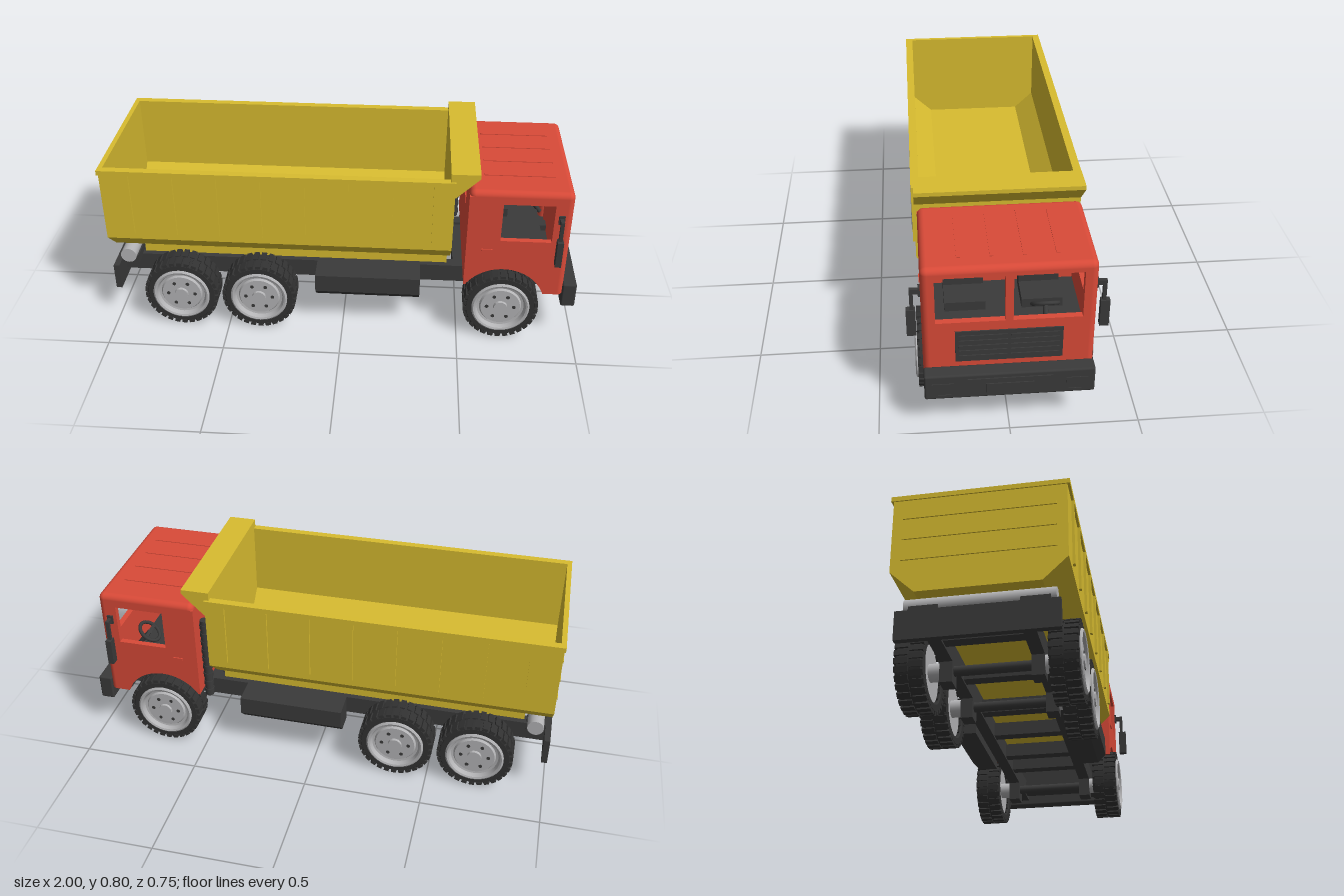
import * as THREE from 'three';
import { mergeGeometries, toCreasedNormals } from 'three/addons/utils/BufferGeometryUtils.js';
import { RoundedBoxGeometry } from 'three/addons/geometries/RoundedBoxGeometry.js';

const mat = (name, color) => {
  const m = new THREE.MeshStandardMaterial({ color });
  m.name = name;
  return m;
};

export function createModel() {
  const yellow = mat('yellow paint', 0xd8bc30);
  const red = mat('red paint', 0xd94a38);
  const dark = mat('dark plastic', 0x3a3a3a);
  const rubber = mat('tyre rubber', 0x323232);
  const gray = mat('wheel gray', 0xb4b4b6);

  const truck = new THREE.Group();
  truck.name = 'dumpTruck';
  const group = (name, parent = truck) => {
    const g = new THREE.Group();
    g.name = name;
    parent.add(g);
    return g;
  };
  const add = (parent, name, geo, material) => {
    const m = new THREE.Mesh(geo, material);
    m.name = name;
    parent.add(m);
    return m;
  };
  // box given by its limits on each axis
  const box = (parent, name, material, x0, x1, y0, y1, z0, z1) => {
    const m = add(parent, name, new THREE.BoxGeometry(x1 - x0, y1 - y0, z1 - z0), material);
    m.position.set((x0 + x1) / 2, (y0 + y1) / 2, (z0 + z1) / 2);
    return m;
  };
  // the same box on both sides
  const pair = (parent, name, material, x0, x1, y0, y1, z0, z1) => {
    box(parent, name, material, x0, x1, y0, y1, z0, z1);
    box(parent, name, material, x0, x1, y0, y1, -z1, -z0);
  };
  const poly = (pts) => new THREE.Shape(pts.map(([a, b]) => new THREE.Vector2(a, b)));
  const rectHole = (shape, x0, x1, y0, y1) =>
    shape.holes.push(new THREE.Path([[x0, y0], [x0, y1], [x1, y1], [x1, y0]].map(([a, b]) => new THREE.Vector2(a, b))));
  const extrude = (shape, depth) => new THREE.ExtrudeGeometry(shape, { depth, bevelEnabled: false, curveSegments: 20 });
  // symmetric (z, y) section swept along x
  const alongX = (shape, x0, x1) => extrude(shape, x1 - x0).rotateY(Math.PI / 2).translate(x0, 0, 0);
  const mirrored = (half) => poly([...half, ...half.slice().reverse().map(([a, b]) => [-a, b])]);

  // ---- chassis
  const chassis = group('chassis');
  pair(chassis, 'frameRail', dark, -0.985, 0.93, 0.187, 0.267, 0.15, 0.2);
  for (const x of [-0.86, -0.53, -0.2, 0.06, 0.32, 0.5, 0.86])
    box(chassis, 'crossBeam', dark, x - 0.025, x + 0.025, 0.195, 0.255, -0.15, 0.15);
  box(chassis, 'rearBar', dark, -1, -0.975, 0.15, 0.267, -0.3, 0.3);
  const tank = poly([[0.2, 0.267], [0.2, 0.15], [0.28, 0.15], [0.315, 0.187], [0.315, 0.267]]);
  for (const s of [1, -1]) {
    const t = add(chassis, 'sideTank', alongX(tank, -0.225, 0.225), dark);
    t.position.x = 0.108;
    if (s > 0) t.rotation.y = Math.PI;
  }
  const hinge = add(chassis, 'tippingHinge', new THREE.CylinderGeometry(0.034, 0.034, 0.56, 24).rotateX(Math.PI / 2), gray);
  hinge.position.set(-0.933, 0.31, 0);
  pair(chassis, 'hingeSupport', dark, -0.97, -0.895, 0.26, 0.3, 0.15, 0.26);

  // ---- wheels
  const lathe = (pts) => toCreasedNormals(
    new THREE.LatheGeometry(pts.map(([a, b]) => new THREE.Vector2(a, b)), 40).rotateX(Math.PI / 2), 0.5);
  const tyreGeo = lathe([[0.112, -0.05], [0.12, -0.055], [0.145, -0.055], [0.154, -0.045], [0.154, 0.045], [0.145, 0.055], [0.115, 0.055]]);
  const rimGeo = lathe([[0.123, 0.05], [0.123, 0.06], [0.116, 0.065], [0.108, 0.062], [0.1, 0.045], [0.09, 0.043],
    [0.084, 0.052], [0.03, 0.052], [0.028, 0.062], [0, 0.062]]);
  const backGeo = lathe([[0, -0.04], [0.116, -0.04]]);
  const lugs = [];
  for (const row of [0, 1])
    for (let i = 0; i < 30; i++)
      lugs.push(new THREE.BoxGeometry(0.014, 0.022, 0.052).translate(0.153, 0, row ? 0.029 : -0.029)
        .rotateZ((i + row / 2) * Math.PI / 15));
  const treadGeo = mergeGeometries(lugs);
  const boltGeo = new THREE.CylinderGeometry(0.008, 0.008, 0.004, 10).rotateX(Math.PI / 2);
  for (const x of [-0.7, -0.36, 0.68]) {
    for (const s of [1, -1]) {
      const w = group(x > 0 ? 'frontWheel' : 'rearWheel');
      add(w, 'tyre', tyreGeo, rubber);
      add(w, 'tread', treadGeo, rubber);
      add(w, 'rim', rimGeo, gray);
      add(w, 'rimBack', backGeo, gray);
      for (let i = 0; i < 6; i++)
        add(w, 'wheelBolt', boltGeo, dark).position.set(0.058 * Math.cos(i * Math.PI / 3), 0.058 * Math.sin(i * Math.PI / 3), 0.052);
      w.position.set(x, 0.16, s * 0.285);
      if (s < 0) w.rotation.y = Math.PI;
    }
    const axle = add(chassis, 'axle', new THREE.CylinderGeometry(0.02, 0.02, 0.4, 16).rotateX(Math.PI / 2), dark);
    axle.position.set(x, 0.16, 0);
    for (const s of [1, -1])
      add(chassis, 'axleStub', new THREE.CylinderGeometry(0.036, 0.036, 0.05, 20).rotateX(Math.PI / 2), gray)
        .position.set(x, 0.16, s * 0.225);
    pair(chassis, 'axleMount', dark, x - 0.035, x + 0.035, 0.103, 0.2, 0.15, 0.2);
  }

  // ---- dump bed
  const bed = group('dumpBed');
  const outline = [[0.33, 0.765], [0.33, 0.435], [0.235, 0.345]];
  const shell = poly([...outline, [-0.235, 0.345], [-0.33, 0.435], [-0.33, 0.765], [-0.31, 0.765], [-0.31, 0.445],
    [-0.225, 0.365], [0.225, 0.365], [0.31, 0.445], [0.31, 0.765]]);
  add(bed, 'bedShell', alongX(shell, -0.99, 0.45), yellow);
  add(bed, 'tailgate', alongX(mirrored(outline), -0.995, -0.98), yellow);
  add(bed, 'frontWall', alongX(mirrored(outline), 0.437, 0.457), yellow);
  for (const y of [0.48, 0.57, 0.66])
    box(bed, 'tailgateRib', yellow, -1, -0.99, y, y + 0.012, -0.29, 0.29);
  pair(bed, 'topRim', yellow, -1, 0.457, 0.745, 0.765, 0.308, 0.34);
  box(bed, 'rearRim', yellow, -1, -0.98, 0.745, 0.765, -0.33, 0.33);
  for (let i = 0; i < 8; i++) {
    const x = -0.88 + i * 0.18;
    pair(bed, 'sideRib', yellow, x - 0.009, x + 0.009, 0.465, 0.75, 0.325, 0.34);
  }
  const lip = poly([[0.437, 0.69], [0.46, 0.69], [0.555, 0.783], [0.555, 0.8], [0.437, 0.8]]);
  add(bed, 'cabGuard', extrude(lip, 0.66).translate(0, 0, -0.33), yellow);
  add(bed, 'bedSubframe', alongX(mirrored([[0.225, 0.35], [0.18, 0.31], [0.18, 0.27]]), -0.885, 0.447), yellow);

  // ---- cab body
  const cab = group('cab');
  const side = new THREE.Shape();
  side.moveTo(0.516, 0.695);
  side.lineTo(0.516, 0.26);
  side.absarc(0.68, 0.16, 0.185, Math.PI - Math.asin(0.1 / 0.185), Math.asin(0.065 / 0.185), true);
  side.lineTo(0.913, 0.225);
  side.lineTo(0.913, 0.695);
  rectHole(side, 0.655, 0.864, 0.487, 0.663);
  for (const z of [0.295, -0.32]) add(cab, 'cabSide', extrude(side, 0.025).translate(0, 0, z), red);
  const front = poly([[-0.295, 0.225], [0.295, 0.225], [0.295, 0.695], [-0.295, 0.695]]);
  rectHole(front, 0.015, 0.27, 0.48, 0.68);
  rectHole(front, -0.27, -0.015, 0.48, 0.68);
  add(cab, 'cabFront', alongX(front, 0.913, 0.938), red);
  const back = poly([[-0.3, 0.26], [0.3, 0.26], [0.3, 0.69], [-0.3, 0.69]]);
  rectHole(back, 0.015, 0.12, 0.54, 0.64);
  rectHole(back, -0.12, -0.015, 0.54, 0.64);
  add(cab, 'cabBack', alongX(back, 0.516, 0.536), red);
  for (const s of [1, -1])
    add(cab, 'cornerPost', new THREE.CylinderGeometry(0.025, 0.025, 0.47, 24), red).position.set(0.913, 0.46, s * 0.295);
  add(cab, 'roof', new RoundedBoxGeometry(0.422, 0.05, 0.64, 4, 0.0249), red).position.set(0.727, 0.695, 0);
  for (const z of [-0.18, -0.06, 0.06, 0.18])
    box(cab, 'roofRib', red, 0.58, 0.87, 0.715, 0.723, z - 0.007, z + 0.007);
  pair(cab, 'doorHandle', red, 0.58, 0.625, 0.435, 0.445, 0.318, 0.325);

  // ---- cab floor and interior
  box(cab, 'cabFloor', dark, 0.53, 0.86, 0.345, 0.36, -0.296, 0.296);
  box(cab, 'footWall', dark, 0.85, 0.86, 0.226, 0.35, -0.296, 0.296);
  box(cab, 'frontFloor', dark, 0.85, 0.92, 0.226, 0.24, -0.296, 0.296);
  pair(cab, 'seatCushion', dark, 0.58, 0.72, 0.36, 0.4, 0.07, 0.23);
  pair(cab, 'seatBack', dark, 0.56, 0.605, 0.36, 0.475, 0.07, 0.23);
  const wheel = group('steeringWheel', cab);
  add(wheel, 'steeringRing', new THREE.TorusGeometry(0.05, 0.008, 8, 28), dark);
  box(wheel, 'steeringSpoke', dark, -0.05, 0.05, -0.007, 0.007, -0.004, 0.004);
  add(wheel, 'steeringColumn', new THREE.CylinderGeometry(0.01, 0.01, 0.12, 12).rotateX(Math.PI / 2).translate(0, 0, 0.06), dark);
  wheel.position.set(0.8, 0.44, -0.15);
  wheel.rotation.set(0, Math.PI / 2, 0);
  wheel.rotateX(0.9);

  // ---- grille and bumper
  box(cab, 'grille', dark, 0.93, 0.943, 0.3, 0.44, -0.2, 0.2);
  for (let i = 0; i < 5; i++) {
    const y = 0.318 + i * 0.0235;
    pair(cab, 'grilleSlat', dark, 0.942, 0.947, y, y + 0.011, 0.006, 0.187);
  }
  const bumper = group('frontBumper');
  add(bumper, 'bumperBar', new RoundedBoxGeometry(0.06, 0.112, 0.64, 3, 0.008), dark).position.set(0.965, 0.22, 0);
  pair(bumper, 'lampPanel', dark, 0.992, 0.998, 0.195, 0.24, 0.21, 0.293);
  pair(bumper, 'lowerLamp', dark, 0.992, 0.998, 0.176, 0.186, 0.22, 0.27);
  box(bumper, 'centrePlate', dark, 0.992, 0.999, 0.187, 0.231, -0.09, 0.09);
  box(bumper, 'bumperStrip', dark, 0.992, 0.999, 0.248, 0.257, -0.16, 0.16);

  // ---- mirrors
  const mirrors = group('mirrors');
  pair(mirrors, 'mirrorMount', dark, 0.88, 0.905, 0.582, 0.62, 0.315, 0.328);
  pair(mirrors, 'mirrorArm', dark, 0.885, 0.9, 0.59, 0.61, 0.32, 0.36);
  pair(mirrors, 'mirrorRod', dark, 0.885, 0.9, 0.51, 0.6, 0.346, 0.36);
  pair(mirrors, 'mirror', dark, 0.88, 0.905, 0.403, 0.52, 0.34, 0.375);

  // ---- ribbed stack behind the cab
  const stack = group('exhaustStack');
  add(stack, 'stackPipe', new THREE.CylinderGeometry(0.018, 0.018, 0.39, 20), dark).position.set(0.489, 0.43, -0.27);
  for (let i = 0; i < 9; i++)
    add(stack, 'stackRing', new THREE.CylinderGeometry(0.021, 0.021, 0.02, 20), dark).position.set(0.489, 0.26 + i * 0.042, -0.27);
  return truck;
}
